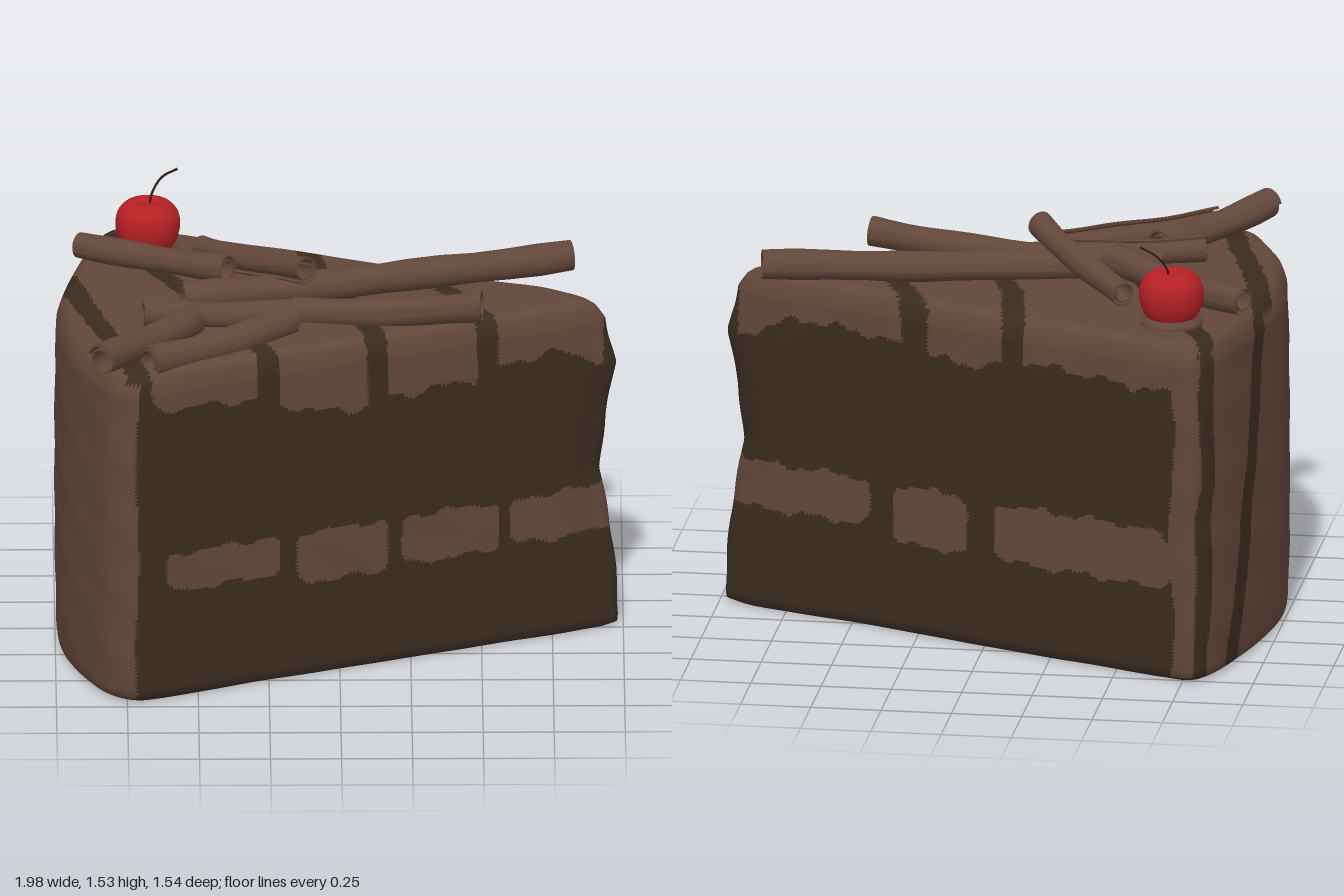
import * as THREE from 'three';
import { toCreasedNormals } from 'three/addons/utils/BufferGeometryUtils.js';

const mat = (name, color) => {
  const m = new THREE.MeshStandardMaterial({ color });
  m.name = name;
  return m;
};

// piecewise linear lookup through [key, value] pairs
function lookup(pairs, k) {
  if (k <= pairs[0][0]) return pairs[0][1];
  for (let i = 1; i < pairs.length; i++) {
    const [k0, v0] = pairs[i - 1], [k1, v1] = pairs[i];
    if (k <= k1) return v0 + (v1 - v0) * (k - k0) / (k1 - k0);
  }
  return pairs[pairs.length - 1][1];
}

// plan outline of the slice, counterclockwise from above: [x, z]
const OUTLINE = [
  [1.0, -0.03], [0.95, -0.09], [0.53, -0.25], [0.2, -0.39], [-0.1, -0.52], [-0.4, -0.635], [-0.7, -0.755],
  [-0.79, -0.775], [-0.85, -0.71], [-0.93, -0.45], [-0.99, -0.15], [-1.0, 0.05], [-0.97, 0.32], [-0.9, 0.52],
  [-0.81, 0.68], [-0.73, 0.72], [-0.65, 0.7], [-0.3, 0.54], [0.2, 0.33], [0.5, 0.2], [0.9, 0.03],
];

// drizzle lines over the top: x as a function of z
const STRIPES = [
  [[-0.3, -0.98], [0.05, -0.89], [0.4, -0.79], [0.72, -0.7]],
  [[-0.74, -0.85], [-0.4, -0.69], [0, -0.49], [0.5, -0.25]],
  [[-0.55, -0.12], [-0.2, -0.06], [0.07, 0.05], [0.4, 0.15]],
  [[-0.37, 0.25], [-0.13, 0.37], [0.18, 0.52]],
];

// filling patches along each cut side: [x0, x1, y0]
const FILLING = {
  front: [[-0.61, -0.21, 0.41], [-0.15, 0.17, 0.36], [0.22, 0.56, 0.37], [0.6, 1.05, 0.38]],
  back: [[-0.7, -0.04, 0.34], [0.06, 0.34, 0.34], [0.43, 1.05, 0.38]],
};

// lower edge of the icing drips along each cut side: [x, y]
const DRIPS = {
  front: [[-0.7, 1.11], [-0.3, 1.08], [-0.2, 1.04], [0.02, 0.98], [0.12, 1.0], [0.2, 1.01],
    [0.5, 1.03], [0.6, 1.07], [0.8, 1.08], [0.93, 1.01]],
  back: [[-0.7, 1.06], [-0.12, 1.09], [0, 1.04], [0.27, 1.05], [0.38, 1.08], [0.7, 1.1], [0.93, 1.0]],
};

// true where the surface is icing, false where it is sponge or drizzle
function isIcing(x, y, z) {
  if (y < 0.015) return false;
  const wob = 0.008 * Math.sin(x * 31 + y * 9) + 0.005 * Math.sin(x * 67 + z * 20);
  const onStripe = STRIPES.some((s) => Math.abs(x - lookup(s, z)) < 0.04 + wob * 0.5);
  if (y > 1.2) return !onStripe && x < 0.92;
  if (x < -0.71 + wob) {
    const w = 0.006 * Math.sin(y * 14);
    if (Math.abs(z - (-0.56 + 0.22 * y) + w) < 0.05) return false;
    return !(x < -0.79 && Math.abs(z - (-0.755 + 0.03 * y) + w) < 0.03);
  }
  const side = z > -0.03 ? 'front' : 'back';
  if (y > lookup(DRIPS[side], x) + wob * 1.5) return !onStripe && x < 0.93;
  return FILLING[side].some(([x0, x1, y0]) => {
    const u = (2 * x - x0 - x1) / (x1 - x0), v = (2 * (y + wob) - y0 - 0.55) / (0.55 - y0);
    return u ** 10 + v ** 6 < 1;
  });
}

// slice body: outline rings from the underside, up the walls and over the top
function sliceGeometry() {
  const N = 380, CX = -0.35;
  const curve = new THREE.CatmullRomCurve3(OUTLINE.map(([x, z]) => new THREE.Vector3(x, 0, z)), true, 'centripetal');
  const ring = curve.getSpacedPoints(N).slice(0, N);
  const levels = [[0.001, 0.005], [0.5, 0.005], [0.955, 0.005], [0.985, 0.018]];
  const WALL = 84;
  for (let i = 0; i <= WALL; i++) {
    const y = 0.045 + (1.165 - 0.045) * i / WALL;
    levels.push([1 - 0.012 * Math.abs(y / 0.6 - 1) ** 3, y]);
  }
  levels.push([0.978, 1.19], [0.965, 1.212], [0.945, 1.228], [0.92, 1.237]);
  for (let i = 1; i <= 44; i++) levels.push([Math.max(0.92 * (1 - i / 44), 0.001), 1.24]);

  const tip = [[0, 0], [0.3, -0.03], [0.6, -0.08], [0.8, -0.06], [1.0, -0.02], [1.1, -0.04], [1.2, -0.05]];
  const pos = [];
  for (const [s, y] of levels) {
    for (const p of ring) {
      const near = THREE.MathUtils.smoothstep(p.x, 0.75, 1) * s;
      const ripple = 1 + 0.004 * Math.sin(p.x * 17 + y * 11) * Math.sin(y * 13 + p.z * 9);
      pos.push(CX + (p.x - CX) * s * ripple + lookup(tip, y) * near, y, p.z * s * ripple);
    }
  }
  const faces = [[], []];
  const addFace = (...tri) => {
    const c = [0, 1, 2].map((k) => tri.reduce((sum, v) => sum + pos[v * 3 + k], 0) / 3);
    faces[isIcing(...c) ? 0 : 1].push(...tri);
  };
  for (let j = 0; j < levels.length - 1; j++) {
    for (let i = 0; i < N; i++) {
      const n = (i + 1) % N;
      const a = j * N + i, b = j * N + n, c = b + N, d = a + N;
      addFace(a, b, c);
      addFace(a, c, d);
    }
  }
  const geo = new THREE.BufferGeometry();
  geo.setAttribute('position', new THREE.Float32BufferAttribute(pos, 3));
  geo.setIndex([...faces[0], ...faces[1]].length ? faces[0].concat(faces[1]) : []);
  geo.addGroup(0, faces[0].length, 0);
  geo.addGroup(faces[0].length, faces[1].length, 1);
  geo.computeVertexNormals();
  return geo;
}

// rolled chocolate curl: a spiral strip extruded between two points
function curl(from, to, radius, phase, material) {
  const a = new THREE.Vector3(...from), b = new THREE.Vector3(...to);
  const L = a.distanceTo(b), outer = [], inner = [];
  for (let i = 0; i <= 36; i++) {
    const t = i / 36, ang = phase + t * Math.PI * 2.9, r = radius * (1 - 0.38 * t);
    outer.push(new THREE.Vector2(Math.cos(ang) * r, Math.sin(ang) * r));
    inner.unshift(new THREE.Vector2(Math.cos(ang) * (r - radius * 0.13), Math.sin(ang) * (r - radius * 0.13)));
  }
  const geo = new THREE.ExtrudeGeometry(new THREE.Shape([...outer, ...inner]), { depth: L, steps: 12, bevelEnabled: false });
  const p = geo.attributes.position;
  for (let i = 0; i < p.count; i++) {
    const z = p.getZ(i), s = 1 + 0.05 * Math.sin(z * 16 + phase);
    p.setXY(i, p.getX(i) * s + 0.006 * Math.sin(z * 9 + phase), p.getY(i) * s - 0.01 * Math.sin(Math.PI * z / L));
  }
  const mesh = new THREE.Mesh(toCreasedNormals(geo, 0.8), material);
  mesh.position.copy(a);
  mesh.lookAt(b);
  mesh.name = 'chocolateCurl';
  return mesh;
}

export function createModel() {
  const icing = mat('chocolate icing', 0x62463a);
  const sponge = mat('dark sponge', 0x3a2b20);
  const red = mat('cherry red', 0xb52024);
  const dark = mat('stem brown', 0x2a1c16);
  const model = new THREE.Group();
  model.name = 'cakeSlice';
  const add = (geo, material, name, x = 0, y = 0, z = 0) => {
    const mesh = new THREE.Mesh(geo, material);
    mesh.name = name;
    mesh.position.set(x, y, z);
    model.add(mesh);
    return mesh;
  };

  add(sliceGeometry(), [icing, sponge], 'slice');

  // curls scattered on the top
  const curls = new THREE.Group();
  curls.name = 'chocolateCurls';
  [
    [[-0.55, 1.28, 0.07], [0.82, 1.31, -0.25], 0.062],
    [[-0.69, 1.29, 0.235], [-0.16, 1.27, 0.18], 0.05],
    [[-0.16, 1.26, 0.14], [0.5, 1.31, 0.225], 0.062],
    [[-0.48, 1.3, -0.37], [-0.12, 1.4, 0.1], 0.052],
    [[-0.91, 1.3, -0.39], [-0.39, 1.34, -0.06], 0.056],
    [[-0.84, 1.31, 0.73], [-0.52, 1.28, 0.27], 0.06],
    [[-0.67, 1.26, 0.63], [-0.17, 1.27, 0.26], 0.06],
  ].forEach(([a, b, r], i) => curls.add(curl(a, b, r, i * 1.3, icing)));
  model.add(curls);

  // cherry on a small mound of icing
  const profile = [[0, -0.1], [0.05, -0.095], [0.088, -0.065], [0.109, -0.02], [0.114, 0.025], [0.105, 0.062],
    [0.08, 0.09], [0.05, 0.1], [0.022, 0.092], [0, 0.082]].map((p) => new THREE.Vector2(...p));
  add(new THREE.LatheGeometry(new THREE.SplineCurve(profile).getPoints(36).map((p) => p.setX(Math.max(p.x, 0))), 36),
    red, 'cherry', -0.67, 1.33, -0.485);
  add(new THREE.SphereGeometry(0.11, 28, 14), icing, 'cherryMound', -0.67, 1.24, -0.485).scale.y = 0.42;
  const stem = new THREE.CatmullRomCurve3([[-0.665, 1.4, -0.49], [-0.655, 1.45, -0.51], [-0.62, 1.5, -0.535],
    [-0.565, 1.53, -0.54]].map((p) => new THREE.Vector3(...p)));
  add(new THREE.TubeGeometry(stem, 20, 0.004, 6), dark, 'cherryStem');
  return model;
}
